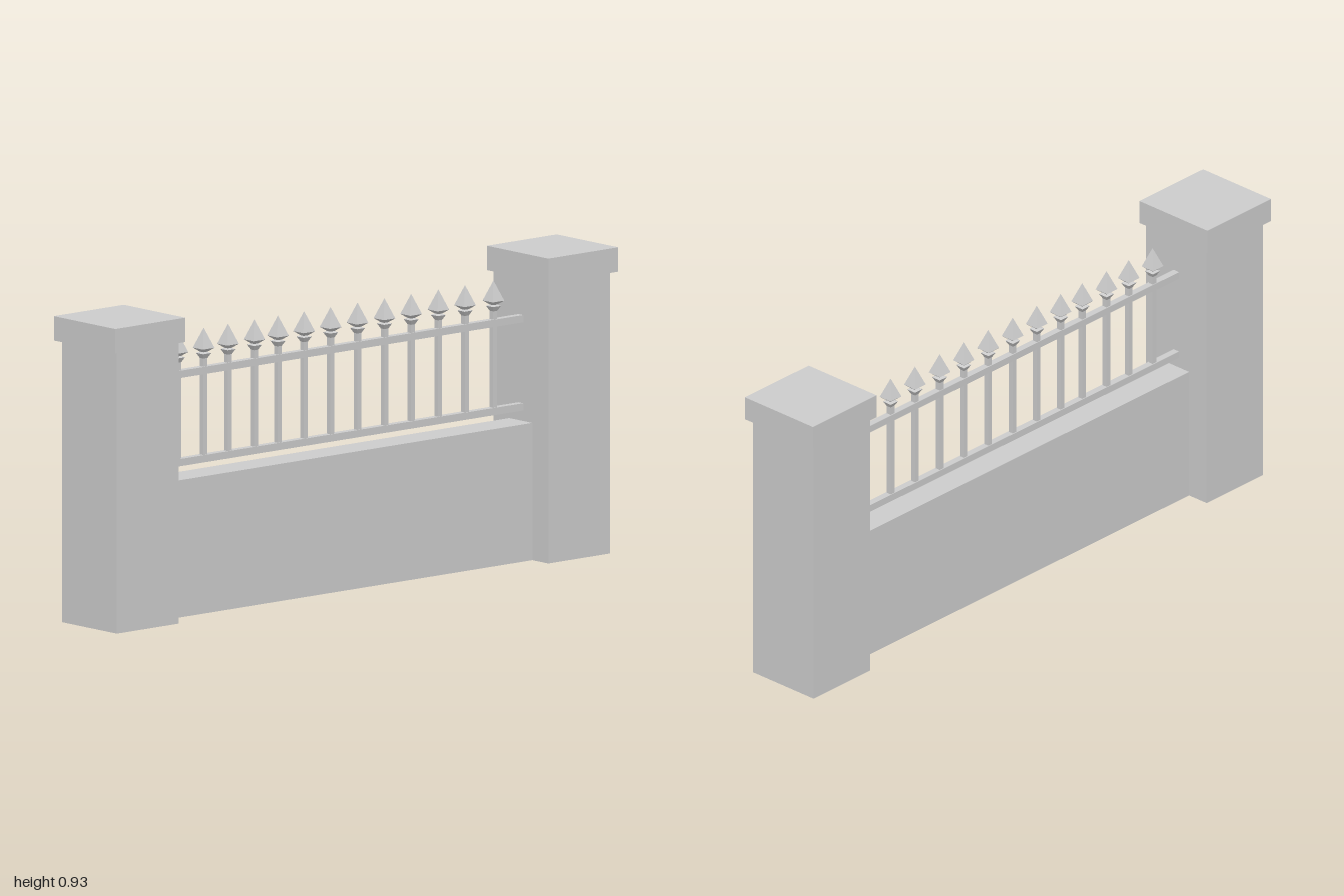
import * as THREE from 'three';

export function createModel() {
  const group = new THREE.Group();
  const material = new THREE.MeshStandardMaterial({ color: 0xcccccc, flatShading: true });

  const add = (name, geometry, x, y, z = 0) => {
    const mesh = new THREE.Mesh(geometry, material);
    mesh.name = name;
    mesh.position.set(x, y, z);
    group.add(mesh);
  };
  // Box spanning y0..y1, centred on z = 0
  const block = (name, x, y0, y1, width, depth) =>
    add(name, new THREE.BoxGeometry(width, y1 - y0, depth), x, (y0 + y1) / 2);

  // Pillars with overhanging caps
  for (const [side, s] of [['left', 1], ['right', -1]]) {
    block(side + 'Pillar', s * 0.858, 0, 0.856, 0.246, 0.248);
    block(side + 'PillarCap', s * 0.861, 0.856, 0.93, 0.278, 0.278);
  }

  // Low wall between the pillars
  block('wall', 0, 0, 0.417, 1.472, 0.104);

  // Horizontal rails
  block('lowerRail', 0, 0.449, 0.471, 1.472, 0.022);
  block('upperRail', 0, 0.717, 0.739, 1.472, 0.022);

  // Square pickets: bar, small flared collar and spear tip in one profile
  const profile = [
    [0, 0.455], [0.008, 0.455], [0.008, 0.764], [0.016, 0.779],
    [0.008, 0.783], [0.023, 0.795], [0, 0.856],
  ].map(([halfWidth, y]) => new THREE.Vector2(halfWidth * Math.SQRT2, y));
  const picket = new THREE.LatheGeometry(profile, 4, Math.PI / 4);
  const positions = [-0.631, -0.527, -0.43, -0.324, -0.23, -0.126, -0.021,
    0.086, 0.193, 0.299, 0.407, 0.513, 0.626];
  positions.forEach((x, i) => add('picket' + (i + 1), picket, x, 0));

  return group;
}
